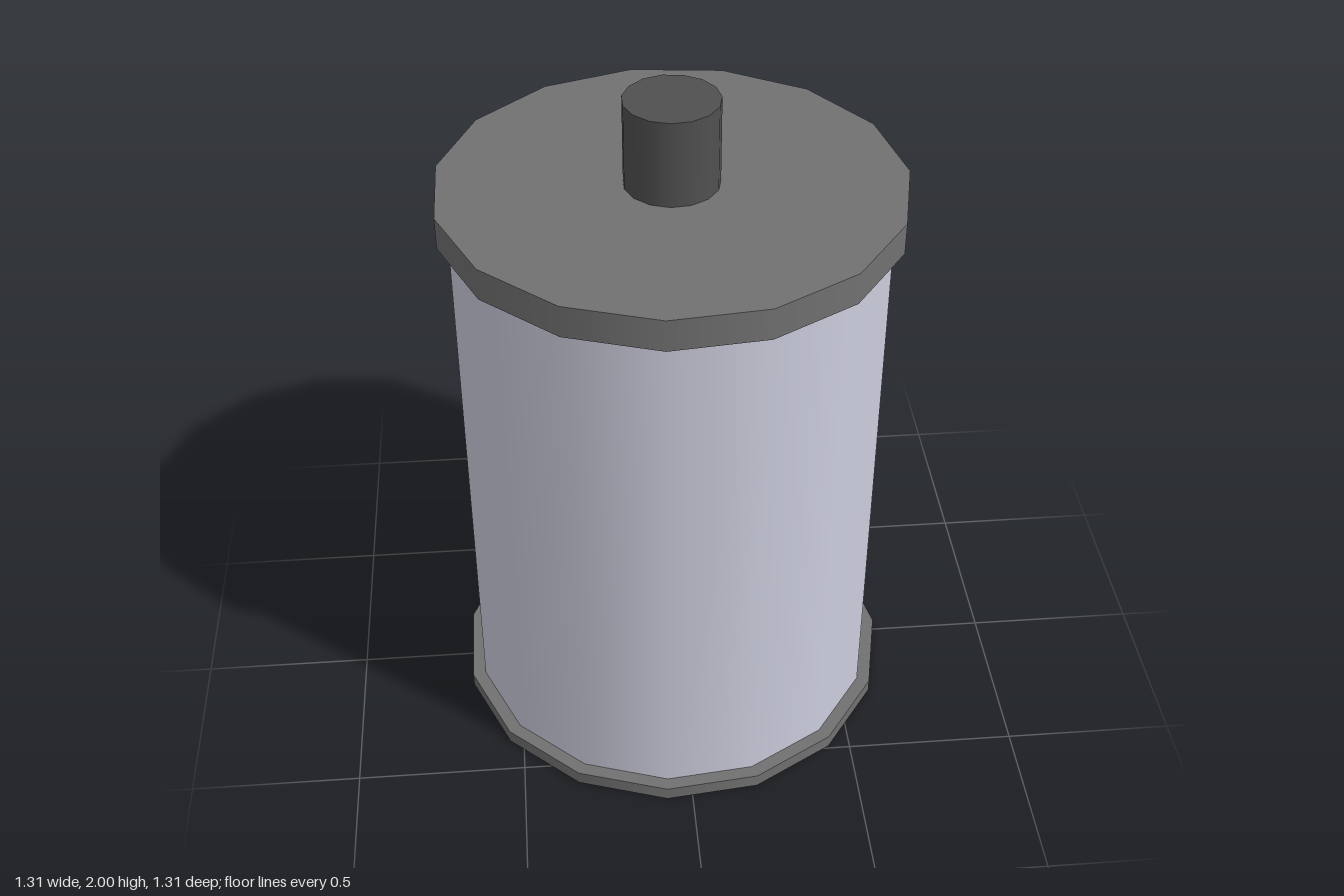
import * as THREE from 'three';

const SIDES = 15;

export function createModel() {
  const model = new THREE.Group();
  model.name = 'canister';

  const paint = (name, color) => {
    const material = new THREE.MeshStandardMaterial({ color });
    material.name = name;
    return material;
  };
  const shell = paint('pale blue grey', 0xcccddd);
  const plate = paint('mid grey', 0x717171);
  const dark = paint('dark grey', 0x505050);

  // Upright fifteen-sided drum with a corner on +x
  const drum = (name, radius, bottom, top, material) => {
    const geometry = new THREE.CylinderGeometry(radius, radius, top - bottom, SIDES, 1, false, Math.PI / 2);
    const mesh = new THREE.Mesh(geometry, material);
    mesh.name = name;
    mesh.position.set(-0.007, (top + bottom) / 2, 0);
    model.add(mesh);
  };

  drum('basePlate', 0.661, 0, 0.042, plate);
  drum('body', 0.621, 0.03, 1.67, shell);
  drum('lid', 0.653, 1.655, 1.748, plate);
  drum('topPost', 0.134, 1.74, 2, dark);

  return model;
}
